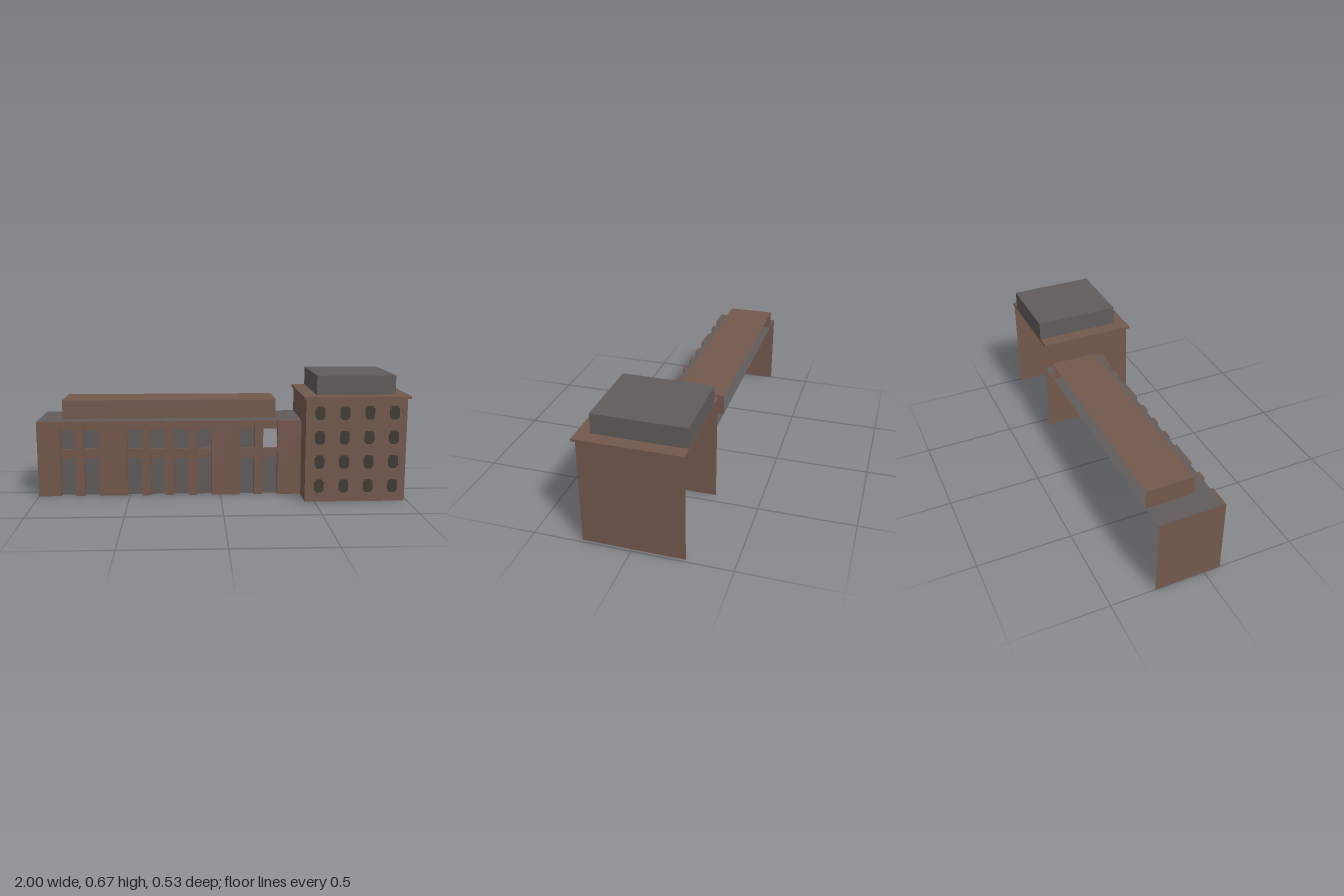
import * as THREE from 'three';

const material = (name, color) =>
  new THREE.MeshStandardMaterial({ name, color, side: THREE.DoubleSide });

export function createModel() {
  const brick = material('brick', 0x74594d);
  const slate = material('slate grey', 0x615c5c);
  const dark = material('dark window', 0x403b34);
  const model = new THREE.Group();
  model.name = 'building';

  const group = (name) => {
    const g = new THREE.Group();
    g.name = name;
    model.add(g);
    return g;
  };
  const add = (parent, name, geometry, mat) => {
    const mesh = new THREE.Mesh(geometry, mat);
    mesh.name = name;
    parent.add(mesh);
    return mesh;
  };
  const box = (parent, name, mat, x0, x1, y0, y1, z0, z1) =>
    add(parent, name, new THREE.BoxGeometry(x1 - x0, y1 - y0, z1 - z0), mat)
      .position.set((x0 + x1) / 2, (y0 + y1) / 2, (z0 + z1) / 2);
  // Single-sheet walls: facing front, facing +x (or -x with flip), facing up
  const frontWall = (parent, name, mat, x0, x1, y0, y1, z) =>
    add(parent, name, new THREE.PlaneGeometry(x1 - x0, y1 - y0), mat)
      .position.set((x0 + x1) / 2, (y0 + y1) / 2, z);
  const sideWall = (parent, name, mat, x, y0, y1, z0, z1, dir = 1) => {
    const m = add(parent, name, new THREE.PlaneGeometry(z1 - z0, y1 - y0), mat);
    m.rotation.y = dir * Math.PI / 2;
    m.position.set(x, (y0 + y1) / 2, (z0 + z1) / 2);
  };
  const deck = (parent, name, mat, x0, x1, y, z0, z1) => {
    const m = add(parent, name, new THREE.PlaneGeometry(x1 - x0, z1 - z0), mat);
    m.rotation.x = -Math.PI / 2;
    m.position.set((x0 + x1) / 2, y, (z0 + z1) / 2);
  };

  const back = -0.265;

  // Long wing, open at the back and underneath
  const wing = group('wing');
  const wingTop = 0.415, face = 0.09, recess = 0.076, glass = 0.06;
  const left = -1, right = 0.445, bayWidth = 0.08;
  const bays = [-0.875, -0.746, -0.512, -0.384, -0.256, -0.128, 0.106, 0.235];

  sideWall(wing, 'endWall', brick, left, 0, wingTop, back, face, -1);
  deck(wing, 'wingRoof', slate, left, right, wingTop, back, recess);

  // Piers between the window bays
  let start = left;
  for (const end of [...bays, right]) {
    frontWall(wing, 'pier', brick, start, end, 0, wingTop, face);
    deck(wing, 'pierTop', brick, start, end, wingTop, recess, face);
    start = end + bayWidth;
  }

  // Recessed bays with two panes; the last bay has an open upper window
  bays.forEach((x, i) => {
    const x1 = x + bayWidth;
    sideWall(wing, 'bayReveal', brick, x, 0, wingTop, glass, face, 1);
    sideWall(wing, 'bayReveal', brick, x1, 0, wingTop, glass, face, -1);
    box(wing, 'upperSpandrel', brick, x, x1, 0.368, wingTop - 0.001, glass, recess);
    box(wing, 'middleSpandrel', brick, x, x1, 0.207, 0.26, glass, recess);
    frontWall(wing, 'lowerPane', slate, x, x1, 0, 0.207, glass);
    if (i < bays.length - 1) frontWall(wing, 'upperPane', slate, x, x1, 0.26, 0.368, glass);
  });

  // Raised roof storey, open at the back
  const storey = group('roofStorey');
  const s = { x0: -0.872, x1: 0.312, top: 0.518, front: -0.01 };
  frontWall(storey, 'storeyFront', brick, s.x0, s.x1, wingTop, s.top, s.front);
  sideWall(storey, 'storeyEnd', brick, s.x0, wingTop, s.top, back, s.front, -1);
  sideWall(storey, 'storeyEnd', brick, s.x1, wingTop, s.top, back, s.front, 1);
  deck(storey, 'storeyRoof', brick, s.x0, s.x1, s.top, back, s.front);

  // Tower, open at the back and underneath
  const tower = group('tower');
  const towerRight = 0.984, towerFront = 0.252, eaves = 0.557;
  frontWall(tower, 'towerFront', brick, right, towerRight, 0, eaves, towerFront);
  sideWall(tower, 'towerSide', brick, right, 0, eaves, back, towerFront, -1);
  sideWall(tower, 'towerSide', brick, towerRight, 0, eaves, back, towerFront, 1);
  box(tower, 'cornice', brick, 0.432, 1, eaves, 0.57, back, 0.267);
  box(tower, 'penthouse', slate, 0.508, 0.93, 0.57, 0.673, back, 0.2);

  // Eight-sided windows, seen from both sides of the wall
  const w = 0.026, h = 0.036;
  const outline = new THREE.Shape([
    [-w, -h * 0.6], [-w * 0.55, -h], [w * 0.55, -h], [w, -h * 0.6],
    [w, h * 0.6], [w * 0.55, h], [-w * 0.55, h], [-w, h * 0.6],
  ].map(([x, y]) => new THREE.Vector2(x, y)));
  const pane = new THREE.ExtrudeGeometry(outline, { depth: 0.004, bevelEnabled: false });
  pane.translate(0, 0, -0.002);
  for (let col = 0; col < 4; col++) {
    for (let row = 0; row < 4; row++) {
      add(tower, 'towerWindow', pane, dark)
        .position.set(0.521 + col * 0.132, 0.085 + row * 0.132, towerFront);
    }
  }
  return model;
}
